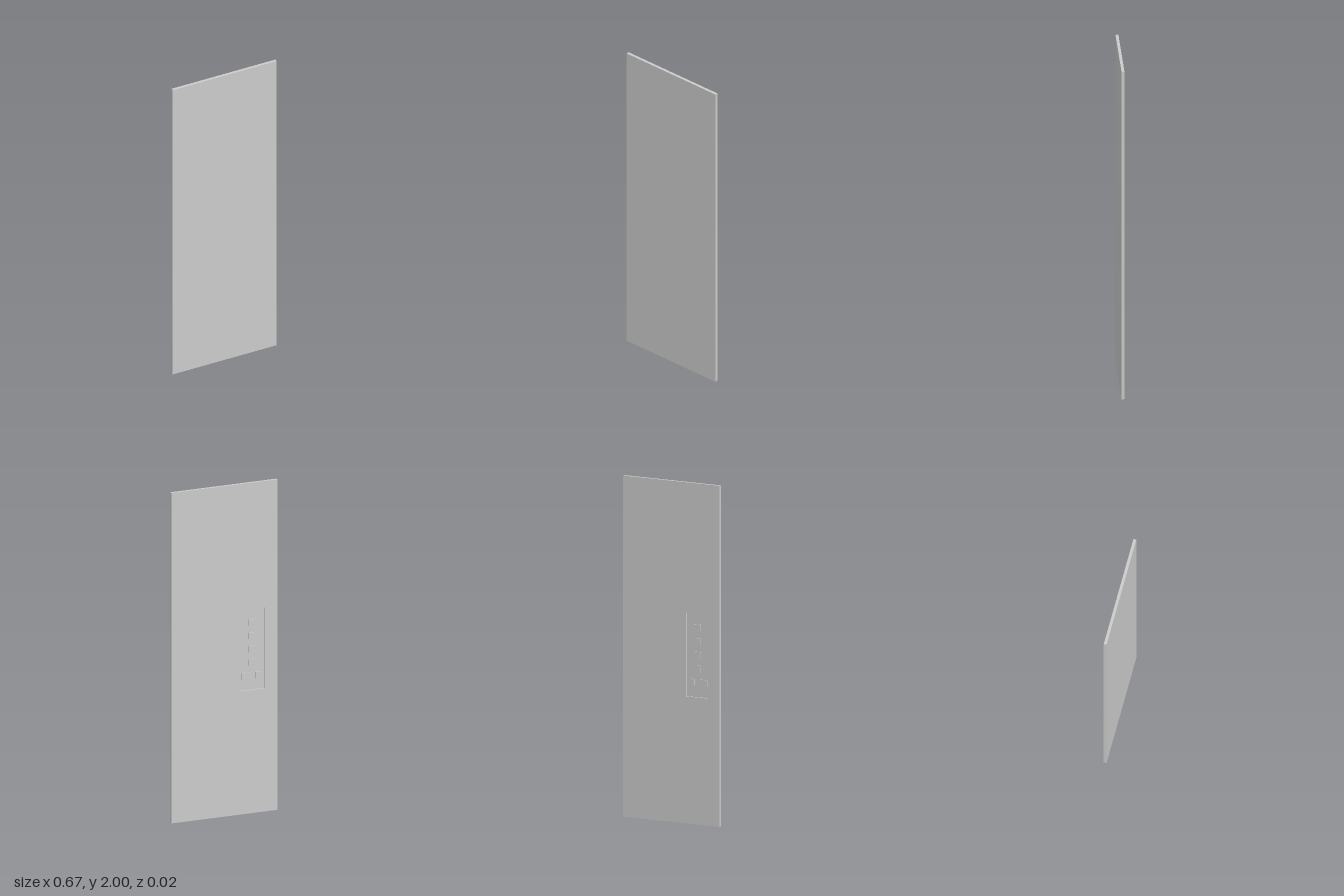
import * as THREE from 'three';

const W = 0.67, H = 2, T = 0.017;                            // door panel
const REC = { x: -0.1785, y: 0.99, w: 0.149, h: 0.49, depth: 0.01 }; // recess in the back
const BUTTON = { w: 0.045, h: 0.038, d: 0.006, stepX: 0.044, stepY: 0.0805, topY: 1.153 };

export function createModel() {
  const group = new THREE.Group();
  const material = new THREE.MeshStandardMaterial({ color: 0xcccccc, flatShading: true });
  const add = (geometry, name, x = 0, y = 0, z = 0) => {
    const mesh = new THREE.Mesh(geometry, material);
    mesh.name = name;
    mesh.position.set(x, y, z);
    group.add(mesh);
  };
  const rectangle = (path, x, y, w, h) => path
    .moveTo(x - w / 2, y - h / 2).lineTo(x + w / 2, y - h / 2)
    .lineTo(x + w / 2, y + h / 2).lineTo(x - w / 2, y + h / 2).closePath();

  // Thin upright panel, with an opening for the keypad
  const outline = new THREE.Shape();
  rectangle(outline, 0, H / 2, W, H);
  const opening = new THREE.Path();
  rectangle(opening, REC.x, REC.y, REC.w, REC.h);
  outline.holes.push(opening);
  add(new THREE.ExtrudeGeometry(outline, { depth: T, bevelEnabled: false }), 'doorPanel', 0, 0, -T / 2);

  // Floor of the recess, flush with the front of the panel
  const floorT = T - REC.depth;
  add(new THREE.BoxGeometry(REC.w, REC.h, floorT), 'recessFloor', REC.x, REC.y, T / 2 - floorT / 2);

  // Raised buttons: one in each upper row, a pair in the bottom row
  const floorZ = -T / 2 + REC.depth;
  const columns = [[0], [0], [0], [0], [-1, 1]];
  columns.forEach((row, r) => row.forEach((c) => {
    add(new THREE.BoxGeometry(BUTTON.w, BUTTON.h, BUTTON.d), 'keypadButton',
      REC.x + c * BUTTON.stepX, BUTTON.topY - r * BUTTON.stepY, floorZ - BUTTON.d / 2);
  }));

  return group;
}
